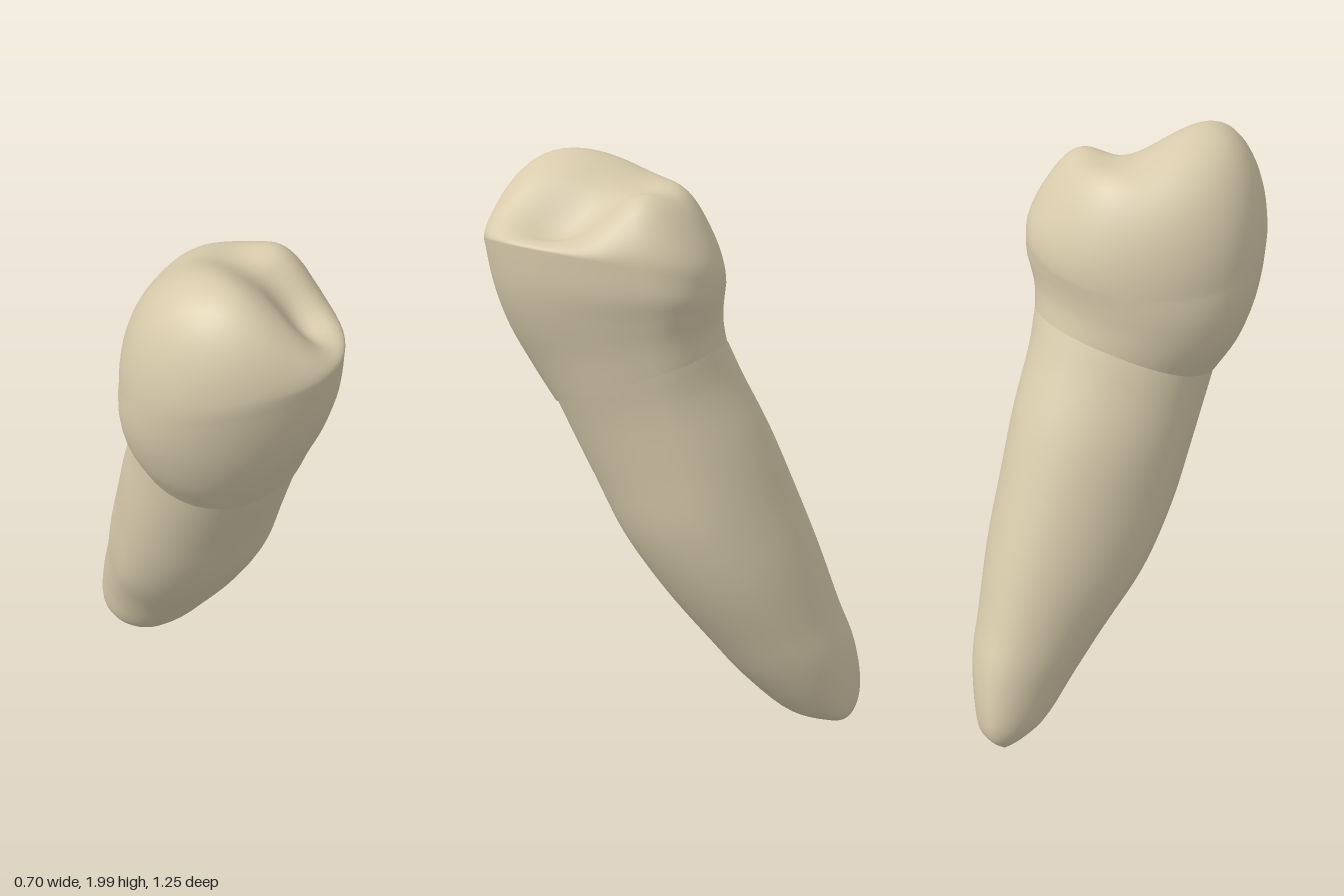
import * as THREE from 'three';

const SEG = 56;

// Cross-sections: [zBack, yBack, zFront, yFront, xMin, xMax, xBack, xFront, zMinFrac, zMaxFrac, tilt, corners]
// xBack to zMaxFrac say where on the outline the extremes lie, so a section may be skewed.
// tilt raises the +x side. corners holds the powers of the front +x, front -x, back +x and
// back -x quarters: below 1 is boxier, above 1 is leaner.
const LEAN = [1, 1, 1.15, 1];
const ROOT = [
  [-0.57, 0.006, -0.55, 0.004, -0.1, -0.05, -0.08, -0.08, 0.5, 0.5],
  [-0.61, 0.05, -0.48, 0.025, -0.135, 0.025, -0.09, -0.06, 0.45, 0.5],
  [-0.625, 0.12, -0.37, 0.06, -0.165, 0.08, -0.09, -0.05, 0.45, 0.5, 0, LEAN],
  [-0.6, 0.3, -0.21, 0.2, -0.187, 0.155, -0.06, -0.04, 0.48, 0.49, 0, LEAN],
  [-0.545, 0.45, -0.1, 0.33, -0.21, 0.2, -0.04, -0.03, 0.57, 0.49, 0, LEAN],
  [-0.47, 0.67, 0.06, 0.53, -0.25, 0.258, -0.01, -0.02, 0.66, 0.5, 0, LEAN],
  [-0.39, 0.88, 0.19, 0.73, -0.265, 0.286, 0.02, 0.0, 0.65, 0.5, 0, LEAN],
  [-0.3, 1.1, 0.28, 0.92, -0.27, 0.289, 0.05, 0.0, 0.6, 0.47, 0.04, [0.95, 1, 1.1, 1]],
  [-0.21, 1.28, 0.36, 1.09, -0.266, 0.292, 0.06, 0.0, 0.55, 0.44, 0.1, [0.9, 1, 1.05, 1.05]],
  [-0.16, 1.39, 0.405, 1.19, -0.265, 0.302, 0.07, 0.0, 0.52, 0.4, 0.14, [0.84, 1, 1, 1.08]],
];
const CROWN = [
  [-0.16, 1.38, 0.407, 1.18, -0.266, 0.303, 0.07, 0.0, 0.52, 0.4, 0.14, [0.84, 1, 1, 1.08]],
  [-0.147, 1.46, 0.48, 1.3, -0.318, 0.315, 0.08, 0.0, 0.52, 0.37, 0.13, [0.87, 1, 0.95, 1.08]],
  [-0.147, 1.51, 0.55, 1.44, -0.346, 0.332, 0.08, 0.04, 0.52, 0.34, 0.13, [0.89, 1, 0.88, 1.08]],
  [-0.15, 1.54, 0.595, 1.58, -0.355, 0.348, 0.08, 0.07, 0.52, 0.33, 0.15, [0.91, 1, 0.85, 1.08]],
  [-0.155, 1.58, 0.622, 1.72, -0.353, 0.346, 0.08, 0.08, 0.52, 0.33, 0.21, [0.92, 1, 0.85, 1.08]],
];

// Four quarter curves joined at the extremes of the section
function outline([zb, yb, zf, yf, x0, x1, xb, xf, f0, f1, tilt = 0, corners = [1, 1, 1, 1]]) {
  const points = [];
  for (let i = 0; i < SEG; i++) {
    const a = (i / SEG) * Math.PI * 2;
    const power = corners[(Math.sin(a) > 0 ? 0 : 2) + (Math.cos(a) > 0 ? 0 : 1)];
    const [c, n] = [Math.cos(a), Math.sin(a)].map((v) => Math.sign(v) * Math.abs(v) ** power);
    const xm = n > 0 ? xf : xb;
    const zm = THREE.MathUtils.lerp(zb, zf, c > 0 ? f1 : f0);
    const x = xm + (c > 0 ? x1 - xm : xm - x0) * c;
    const z = zm + (n > 0 ? zf - zm : zm - zb) * n;
    points.push(new THREE.Vector3(x, THREE.MathUtils.mapLinear(z, zb, zf, yb, yf) + tilt * x, z));
  }
  return points;
}

// Smooth the column of each point through the sections
function smoothRings(sections, steps) {
  const rings = sections.map(outline);
  const columns = rings[0].map((_, i) => new THREE.CatmullRomCurve3(rings.map((r) => r[i])));
  return Array.from({ length: steps + 1 }, (_, k) => columns.map((c) => c.getPoint(k / steps)));
}

function loft(rings) {
  const positions = [], index = [];
  rings.forEach((ring) => ring.forEach((p) => positions.push(p.x, p.y, p.z)));
  for (let k = 0; k < rings.length - 1; k++) {
    for (let i = 0; i < SEG; i++) {
      const a = k * SEG + i, b = k * SEG + ((i + 1) % SEG);
      index.push(a, a + SEG, b, b, a + SEG, b + SEG);
    }
  }
  const geometry = new THREE.BufferGeometry();
  geometry.setAttribute('position', new THREE.Float32BufferAttribute(positions, 3));
  geometry.setIndex(index);
  geometry.computeVertexNormals();
  return geometry;
}

// Chewing surface: broad main cusp, small cusp, ridge behind and a groove running to the front
function biteHeight(x, z) {
  const bump = (cx, cz, sx, sz) => Math.exp(-(((x - cx) / sx) ** 2) - ((z - cz) / sz) ** 2);
  return 1.78
    + 0.222 * bump(-0.1, 0.4, x < -0.1 ? 0.42 : 0.24, 0.47)
    + 0.12 * bump(0.25, 0.1, 0.13, 0.13)
    + 0.07 * bump(0.08, -0.03, 0.2, 0.1)
    - 0.07 * bump(0.18, 0.38, 0.08, 0.14);
}

function biteRings(rim) {
  const rings = [], steps = 24;
  for (let k = 1; k <= steps; k++) {
    const s = Math.cos((k / steps) * Math.PI / 2);
    const rise = Math.sqrt(1 - s ** 4);
    rings.push(rim.map((p) => {
      const x = p.x * s, z = 0.25 + (p.z - 0.25) * s;
      return new THREE.Vector3(x, THREE.MathUtils.lerp(p.y, biteHeight(x, z), rise), z);
    }));
  }
  return rings;
}

export function createModel() {
  const group = new THREE.Group();
  group.name = 'tooth';
  const ivory = new THREE.MeshStandardMaterial({ color: 0xd8cbac });
  ivory.name = 'ivory';

  // Root, closed by a tiny ring drawn in to a point at the tip
  const rootRings = smoothRings(ROOT, 45);
  const tip = rootRings[0].map(() => new THREE.Vector3(-0.08, 0.002, -0.56));
  const root = new THREE.Mesh(loft([tip, ...rootRings]), ivory);
  root.name = 'root';

  const wall = smoothRings(CROWN, 16);
  const crown = new THREE.Mesh(loft([...wall, ...biteRings(wall[wall.length - 1])]), ivory);
  crown.name = 'crown';

  group.add(root, crown);
  return group;
}
